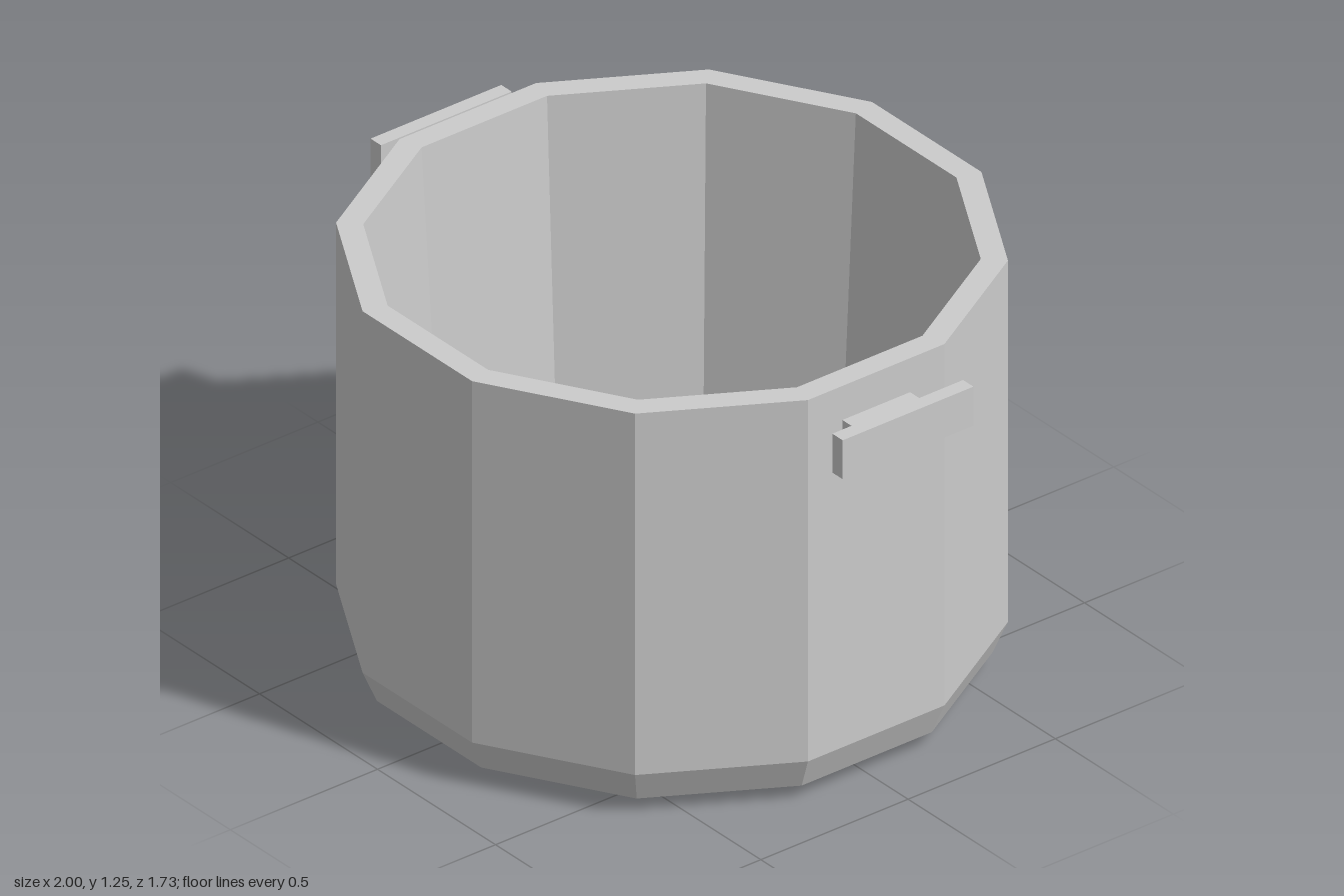
import * as THREE from 'three';

const SIDES = 12;

export function createModel() {
  const group = new THREE.Group();
  const material = new THREE.MeshStandardMaterial({ color: 0xcccccc, flatShading: true });

  // Pot: twelve-sided shell with a bevelled base and a tapered hollow.
  // Profile is [distance to the flat side, height], from under the base to the inner floor.
  const toCorner = 1 / Math.cos(Math.PI / SIDES);
  const profile = [
    [0, 0], [0.725, 0], [0.825, 0.043], [0.865, 0.14], [0.865, 1.255],
    [0.795, 1.255], [0.725, 0.05], [0, 0.05],
  ].map(([r, y]) => new THREE.Vector2(r * toCorner, y));
  const pot = new THREE.Mesh(new THREE.LatheGeometry(profile, SIDES, Math.PI / SIDES), material);
  pot.name = 'pot';
  group.add(pot);

  // Handles: a flat stem and an upright grip bar on each side
  const addBox = (parent, name, size, x) => {
    const mesh = new THREE.Mesh(new THREE.BoxGeometry(...size), material);
    mesh.name = name;
    mesh.position.set(x, 1.13, 0);
    parent.add(mesh);
  };
  for (const [name, side] of [['leftHandle', 1], ['rightHandle', -1]]) {
    const handle = new THREE.Group();
    handle.name = name;
    addBox(handle, 'handleStem', [0.11, 0.04, 0.23], side * 0.905);
    addBox(handle, 'handleGrip', [0.044, 0.12, 0.444], side * 0.978);
    group.add(handle);
  }

  return group;
}
